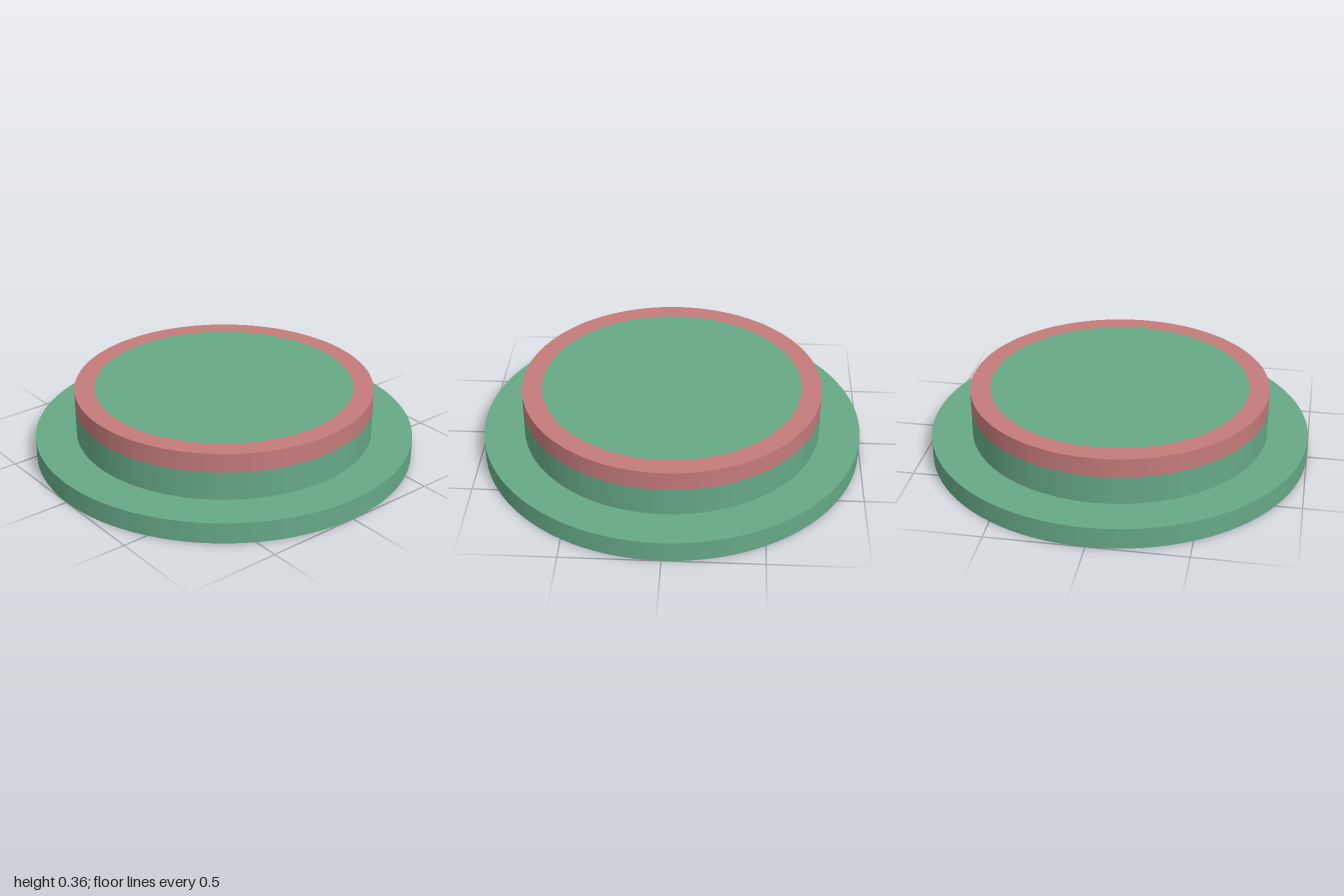
import * as THREE from 'three';

const SEGMENTS = 96;

export function createModel() {
  const group = new THREE.Group();
  const green = new THREE.MeshStandardMaterial({ color: 0x66a886 });
  green.name = 'green';
  const red = new THREE.MeshStandardMaterial({ color: 0xc47a7a });
  red.name = 'red';

  const add = (name, geometry, material, y) => {
    const mesh = new THREE.Mesh(geometry, material);
    mesh.name = name;
    mesh.position.y = y;
    group.add(mesh);
    return mesh;
  };

  const baseHeight = 0.11, bandStart = 0.26, top = 0.36;
  const bodyRadius = 0.785, faceRadius = 0.68;

  // Wide base flange
  add('baseFlange', new THREE.CylinderGeometry(1, 1, baseHeight, SEGMENTS), green, baseHeight / 2);

  // Raised body, lower part of the wall
  add('body', new THREE.CylinderGeometry(bodyRadius, bodyRadius, bandStart - baseHeight, SEGMENTS, 1, true),
    green, (baseHeight + bandStart) / 2);

  // Coloured band around the top of the wall
  add('rimBand', new THREE.CylinderGeometry(bodyRadius, bodyRadius, top - bandStart, SEGMENTS, 1, true),
    red, (bandStart + top) / 2);

  // Flat top: coloured rim ring and flush centre disc
  add('rimTop', new THREE.RingGeometry(faceRadius, bodyRadius, SEGMENTS).rotateX(-Math.PI / 2), red, top);
  add('topFace', new THREE.CircleGeometry(faceRadius, SEGMENTS).rotateX(-Math.PI / 2), green, top);

  return group;
}
